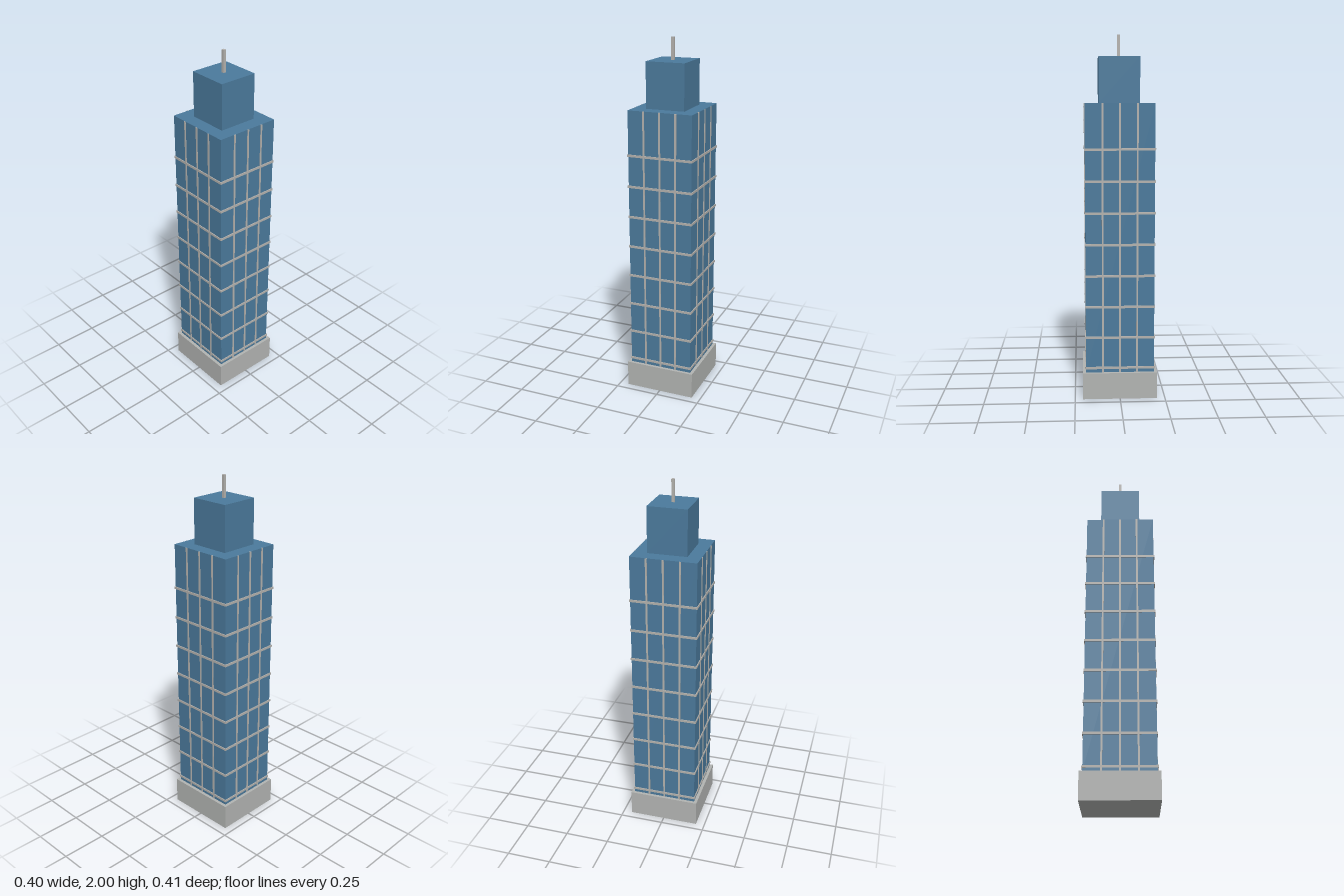
import * as THREE from 'three';

export function createModel() {
  const glass = new THREE.MeshStandardMaterial({ color: 0x4b7a9c });
  glass.name = 'blueGlass';
  const stone = new THREE.MeshStandardMaterial({ color: 0xb2b4b2 });
  stone.name = 'greyStone';
  const trim = new THREE.MeshStandardMaterial({ color: 0xb4b2ae });
  trim.name = 'greyTrim';

  const model = new THREE.Group();
  model.name = 'skyscraper';

  // Box standing on y0, centred on x and z
  function block(name, material, w, h, d, y0, x = 0, z = 0) {
    const mesh = new THREE.Mesh(new THREE.BoxGeometry(w, h, d), material);
    mesh.name = name;
    mesh.position.set(x, y0 + h / 2, z);
    model.add(mesh);
  }

  const W = 0.364, D = 0.378, baseTop = 0.148, roof = 1.63;

  // Main volumes
  block('base', stone, 0.4, baseTop, 0.412, 0);
  block('tower', glass, W, roof - baseTop, D, baseTop);
  block('penthouse', glass, 0.218, 0.25, 0.224, roof);
  block('antenna', trim, 0.016, 0.12, 0.016, 1.88);

  // Floor bands around the tower
  for (let i = 1; i <= 8; i++) {
    block('floorBand', trim, W + 0.009, 0.013, D + 0.009, i * 0.173 - 0.0055);
  }

  // Three vertical mullions on each side
  for (const side of [-1, 1]) {
    for (const k of [-1, 0, 1]) {
      const h = roof - baseTop;
      block('mullion', trim, 0.01, h, 0.007, baseTop, k * W / 4, side * D / 2);
      block('mullion', trim, 0.007, h, 0.01, baseTop, side * W / 2, k * D / 4);
    }
  }
  return model;
}
